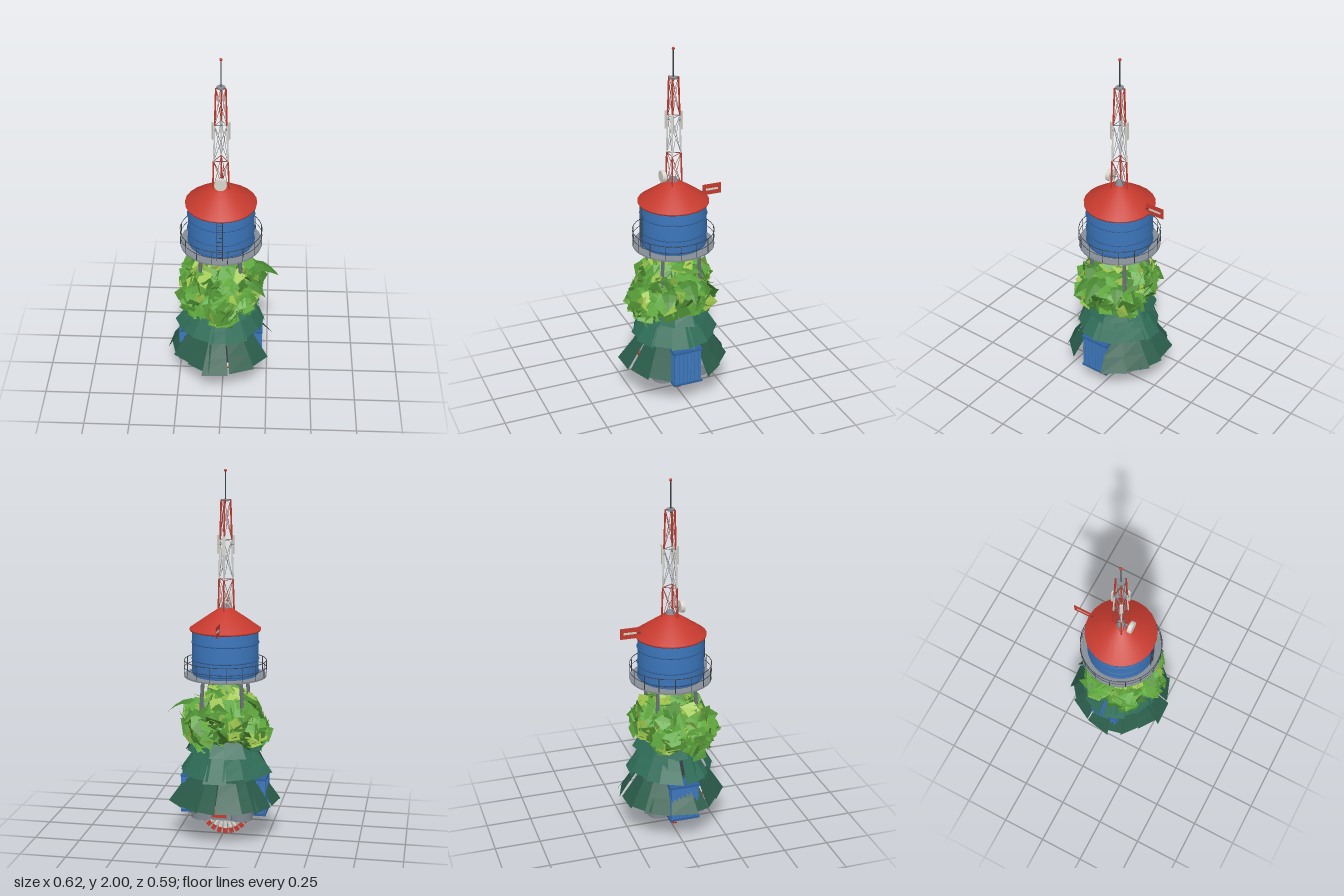
import * as THREE from 'three';
import { mergeGeometries } from 'three/addons/utils/BufferGeometryUtils.js';

const C = { blue: 0x3d78be, red: 0xc63a2e, steel: 0x858c95, dark: 0x3a4048, white: 0xd8d6cc,
  pineLow: 0x2a5c4a, pineHigh: 0x2f6d58, lime: 0x9fc64e, leaf: 0x60a83e, moss: 0x4a8a32 };
const V = (x, y, z) => new THREE.Vector3(x, y, z);
const mat = (color, opts = {}) => new THREE.MeshStandardMaterial({ color, ...opts });
const leafy = { side: THREE.DoubleSide, flatShading: true };

let seed = 7;
const rnd = (a = 0, b = 1) => {
  seed = (seed * 16807) % 2147483647;
  return a + (b - a) * seed / 2147483647;
};

export function createModel() {
  seed = 7;
  const root = new THREE.Group();
  const model = new THREE.Group();
  model.position.set(-0.012, 0, 0.004);
  root.add(model);

  const add = (name, geo, color, x = 0, y = 0, z = 0, opts) => {
    const m = new THREE.Mesh(geo, mat(color, opts));
    m.name = name;
    m.position.set(x, y, z);
    model.add(m);
    return m;
  };
  const box = (name, color, w, h, d, x, y, z) => add(name, new THREE.BoxGeometry(w, h, d), color, x, y, z);
  // Round bar between two points, as a bare geometry
  const bar = (a, b, r, sides = 6) => {
    const d = b.clone().sub(a);
    const g = new THREE.CylinderGeometry(r, r, d.length(), sides);
    g.applyQuaternion(new THREE.Quaternion().setFromUnitVectors(V(0, 1, 0), d.normalize()));
    return g.translate((a.x + b.x) / 2, (a.y + b.y) / 2, (a.z + b.z) / 2);
  };
  const ring = (r, tube, y) => new THREE.TorusGeometry(r, tube, 6, 32).rotateX(Math.PI / 2).translate(0, y, 0);
  const polar = (a, r, y) => V(Math.sin(a) * r, y, Math.cos(a) * r);
  const lathe = (pts, n) => new THREE.LatheGeometry(pts.map(p => new THREE.Vector2(...p)), n);

  // Fan of white blades with red tips under the base
  const blades = [], tips = [];
  for (let i = 0; i < 11; i++) {
    const a = (i / 10 - 0.5) * 2.7;
    blades.push(new THREE.CylinderGeometry(0.004, 0.011, 0.1, 4).scale(1, 1, 0.45).translate(0, -0.06, 0).rotateZ(a));
    tips.push(new THREE.BoxGeometry(0.022, 0.03, 0.009).translate(0, -0.123, 0).rotateZ(a));
  }
  add('fanBlades', mergeGeometries(blades), C.white, 0, 0.14, 0, { flatShading: true });
  add('fanTips', mergeGeometries(tips), C.red, 0, 0.14, 0);
  add('fanHub', new THREE.CylinderGeometry(0.025, 0.025, 0.025, 16).rotateX(Math.PI / 2), C.dark, 0, 0.14, 0);

  // Lobed base
  add('baseCore', new THREE.CylinderGeometry(0.16, 0.15, 0.065, 20), C.dark, 0, 0.167, 0);
  for (let i = 0; i < 4; i++) {
    const p = polar(Math.PI / 4 + i * Math.PI / 2, 0.145, 0.165);
    add('baseLobe', new THREE.CylinderGeometry(0.07, 0.065, 0.07, 14), C.steel, p.x, p.y, p.z);
  }
  add('trunk', new THREE.CylinderGeometry(0.09, 0.15, 0.5, 14), C.dark, 0, 0.44, 0);
  box('frontBumper', C.white, 0.14, 0.014, 0.02, 0, 0.178, 0.175);
  box('frontBumperStripe', C.red, 0.1, 0.012, 0.022, 0, 0.165, 0.174);
  box('rearEngine', C.steel, 0.13, 0.06, 0.06, 0, 0.172, -0.155);
  box('rearLocker', C.red, 0.08, 0.045, 0.02, 0, 0.18, -0.182);
  for (const s of [-1, 1]) box('sideLamp', C.red, 0.03, 0.022, 0.025, s * 0.09, 0.19, 0.165);

  // Corrugated containers on both sides
  for (const s of [-1, 1]) {
    box('container', C.blue, 0.1, 0.205, 0.155, s * 0.177, 0.245, 0.008);
    const ribs = [];
    for (let i = 0; i < 7; i++) {
      ribs.push(new THREE.BoxGeometry(0.008, 0.185, 0.012).translate(s * 0.229, 0.245, -0.061 + i * 0.023));
    }
    for (const z of [-0.071, 0.087]) for (let i = 0; i < 4; i++) {
      ribs.push(new THREE.BoxGeometry(0.012, 0.185, 0.008).translate(s * (0.142 + i * 0.023), 0.245, z));
    }
    add('containerRibs', mergeGeometries(ribs), C.blue);
    for (const y of [0.146, 0.344]) box('containerRail', 0x2f62a0, 0.112, 0.012, 0.168, s * 0.178, y, 0.008);
  }

  // Conifer skirts of overlapping sloping boards, open by the given angle on the left
  const skirt = (n, y0, y1, rBottom, rTop, width, color, gap) => {
    const boards = [];
    for (let i = 0; i < n; i++) {
      const a = (i + rnd(-0.2, 0.2)) / n * Math.PI * 2;
      if (Math.abs(a - Math.PI / 2) < gap) continue;
      const h = y1 - y0, g = new THREE.PlaneGeometry(1, 1, 1, 2), p = g.attributes.position;
      const rb = rBottom * rnd(0.92, 1.04), drop = rnd(0, 0.018), skew = rnd(-0.03, 0.03);
      for (let k = 0; k < p.count; k++) {
        const t = 0.5 - p.getY(k);
        const w = width * (0.62 + 0.38 * t);
        p.setXYZ(k, p.getX(k) * w, y1 - t * (h - drop), rTop + (rb - rTop) * t + p.getX(k) * skew);
      }
      boards.push(g.rotateY(a));
    }
    add('coniferSkirt', mergeGeometries(boards), color, 0, 0, 0, leafy);
    add('skirtCap', new THREE.ConeGeometry(rTop, 0.03, n), color, 0, y1 + 0.01, 0, leafy);
  };
  skirt(15, 0.19, 0.35, 0.287, 0.185, 0.145, C.pineLow, 0.46);
  skirt(14, 0.355, 0.49, 0.235, 0.158, 0.13, C.pineHigh, 0);
  skirt(12, 0.48, 0.61, 0.19, 0.125, 0.12, C.pineHigh, 0);

  // Leaf clumps: flat leaves scattered over spheres, in three greens
  const leaves = { lime: [], leaf: [], moss: [] };
  const clump = (c, r, count, limeShare) => {
    for (let i = 0; i < count; i++) {
      const y = 1 - 2 * (i + 0.5) / count, a = i * 2.4 + rnd(-0.3, 0.3), q = Math.sqrt(1 - y * y);
      const n = V(Math.cos(a) * q, y, Math.sin(a) * q);
      const s = rnd(0.055, 0.09);
      const g = new THREE.PlaneGeometry(s, s * rnd(0.7, 1.1));
      const p = g.attributes.position;
      p.setX(0, p.getX(0) * rnd(0.3, 1));
      p.setZ(3, rnd(-0.02, 0.01));
      g.rotateZ(rnd(0, 6.3)).rotateX(rnd(-0.6, 0.6)).rotateY(rnd(-0.6, 0.6));
      g.applyQuaternion(new THREE.Quaternion().setFromUnitVectors(V(0, 0, 1), n));
      const at = c.clone().addScaledVector(n, r * rnd(0.85, 1));
      g.translate(at.x, at.y, at.z);
      const k = rnd();
      leaves[k < limeShare ? 'lime' : k < 0.82 ? 'leaf' : 'moss'].push(g);
    }
    add('foliageCore', new THREE.IcosahedronGeometry(r * 0.84, 1), C.leaf, c.x, c.y, c.z, { flatShading: true });
  };
  // Angle from the front, distance out, height and radius of each side clump
  const sideClumps = [[0, 0.155, 0.58, 0.105], [0.85, 0.14, 0.6, 0.095], [1.7, 0.14, 0.64, 0.09], [2.5, 0.14, 0.6, 0.09],
    [3.4, 0.125, 0.64, 0.085], [4.3, 0.145, 0.61, 0.09], [5.3, 0.155, 0.58, 0.095], [0.2, 0.14, 0.52, 0.07]];
  for (const [a, d, y, r] of sideClumps) clump(polar(a, d, y), r, 50, 0.15);
  for (let i = 0; i < 5; i++) clump(polar(0.5 + i * Math.PI * 0.4, 0.115, 0.7), 0.085, 36, 0.3);
  clump(V(0, 0.765, 0), 0.1, 55, 0.6);
  for (const k in leaves) add('leaves_' + k, mergeGeometries(leaves[k]), C[k], 0, 0, 0, leafy);

  // Arching pointed fronds
  const frond = (a, reach, y, w) => {
    const g = new THREE.PlaneGeometry(1, 1, 2, 5), p = g.attributes.position;
    for (let k = 0; k < p.count; k++) {
      const t = p.getY(k) + 0.5, u = p.getX(k);
      p.setXYZ(k, u * w * Math.sin(0.35 + t * 2.79), y + 0.04 * Math.sin(t * 3) - 0.06 * t * t - Math.abs(u) * 0.06 * (1 - t),
        0.1 + (reach - 0.1) * t);
    }
    add('frond', g.rotateY(a), C.moss, 0, 0, 0, leafy);
  };
  frond(Math.PI / 2, 0.32, 0.735, 0.1);
  frond(1.08, 0.28, 0.68, 0.09);
  frond(2.1, 0.25, 0.7, 0.08);

  // Splayed tank legs
  const legs = [];
  for (let i = 0; i < 4; i++) {
    const a = Math.PI / 4 + i * Math.PI / 2;
    legs.push(bar(polar(a, 0.17, 0.55), polar(a, 0.145, 0.9), 0.01, 8));
  }
  add('tankLegs', mergeGeometries(legs), 0x6a7079);

  // Tank, roof and hoops
  add('tank', lathe([[0, 0.862], [0.06, 0.866], [0.12, 0.877], [0.16, 0.893], [0.178, 0.915], [0.178, 1.155]], 32), C.blue);
  const hoops = [0.925, 0.995, 1.085, 1.15].map(y => ring(0.179, 0.004, y));
  add('tankHoops', mergeGeometries(hoops), 0x2f5f9c);
  add('roof', lathe([[0, 1.148], [0.19, 1.148], [0.192, 1.158], [0.1, 1.222], [0.04, 1.263], [0, 1.278]], 24),
    C.red, 0, 0, 0, { side: THREE.DoubleSide });
  add('roofCap', new THREE.CylinderGeometry(0.02, 0.026, 0.02, 12), C.steel, 0, 1.277, 0);

  // Walkway with railing and brackets
  add('walkway', lathe([[0.165, 0.898], [0.222, 0.898], [0.222, 0.907], [0.165, 0.907], [0.165, 0.898]], 32), C.steel, 0, 0, 0, { flatShading: true });
  const rail = [ring(0.221, 0.002, 0.985), ring(0.221, 0.0016, 0.946)], brackets = [];
  for (let i = 0; i < 16; i++) {
    const a = (i + 0.5) / 16 * Math.PI * 2;
    rail.push(bar(polar(a, 0.221, 0.905), polar(a, 0.221, 0.985), 0.002));
    if (i % 2) brackets.push(bar(polar(a, 0.14, 0.878), polar(a, 0.21, 0.898), 0.003));
  }
  add('railing', mergeGeometries(rail), C.dark);
  add('walkwayBrackets', mergeGeometries(brackets), C.dark);

  // Ladder up the front of the tank
  const ladder = [-0.015, 0.015].map(x => bar(V(x, 0.9, 0.186), V(x, 1.15, 0.186), 0.0022));
  for (let y = 0.92; y < 1.15; y += 0.026) ladder.push(bar(V(-0.015, y, 0.186), V(0.015, y, 0.186), 0.0016));
  add('ladder', mergeGeometries(ladder), C.dark);

  // Flag board at the back of the roof
  add('flagArm', bar(V(0, 1.17, -0.16), V(0, 1.185, -0.18), 0.003), C.dark);
  box('flag', C.red, 0.003, 0.06, 0.107, 0, 1.183, -0.224);
  box('flagStripe', C.white, 0.004, 0.012, 0.07, 0, 1.183, -0.225);

  // Three-sided lattice mast in red and white bands
  const levels = [1.23, 1.42, 1.63, 1.84], bands = [C.red, C.white, C.red];
  const corner = (i, y) => polar(Math.PI / 3 + i * Math.PI * 2 / 3, 0.05 - 0.021 * (y - 1.23) / 0.61, y);
  for (let b = 0; b < 3; b++) {
    const posts = [], braces = [], [lo, hi] = [levels[b], levels[b + 1]];
    for (let i = 0; i < 3; i++) {
      posts.push(bar(corner(i, lo), corner(i, hi), 0.0048));
      braces.push(bar(corner(i, hi), corner(i + 1, hi), 0.002));
      braces.push(bar(corner(i, lo), corner(i + 1, hi), 0.0014), bar(corner(i + 1, lo), corner(i, hi), 0.0014));
    }
    add('mastPosts', mergeGeometries(posts), bands[b]);
    add('mastBraces', mergeGeometries(braces), b === 1 ? C.steel : 0x8c4a44);
  }
  add('mastPlate', new THREE.CylinderGeometry(0.022, 0.022, 0.01, 12), C.steel, 0, 1.838, 0);
  add('antennaRod', bar(V(0, 1.82, 0), V(0, 1.99, 0), 0.0032), C.dark);
  add('beacon', new THREE.SphereGeometry(0.008, 12, 8), C.red, 0, 1.992, 0);

  // Panel aerials around the mast
  for (let i = 0; i < 3; i++) {
    const a = Math.PI / 3 + i * Math.PI * 2 / 3, p = polar(a, 0.047, 1.603);
    box('panelAerial', C.white, 0.017, 0.1, 0.008, p.x, p.y, p.z).rotation.y = a;
    add('panelBracket', bar(polar(a, 0.032, 1.603), polar(a, 0.047, 1.603), 0.004), C.dark);
  }

  // Drum dish facing forward
  add('dish', new THREE.CylinderGeometry(0.033, 0.033, 0.022, 24).rotateX(Math.PI / 2), C.white, 0, 1.302, 0.06);
  add('dishArm', bar(V(0, 1.302, 0.025), V(0, 1.302, 0.055), 0.005), C.steel);

  return root;
}
